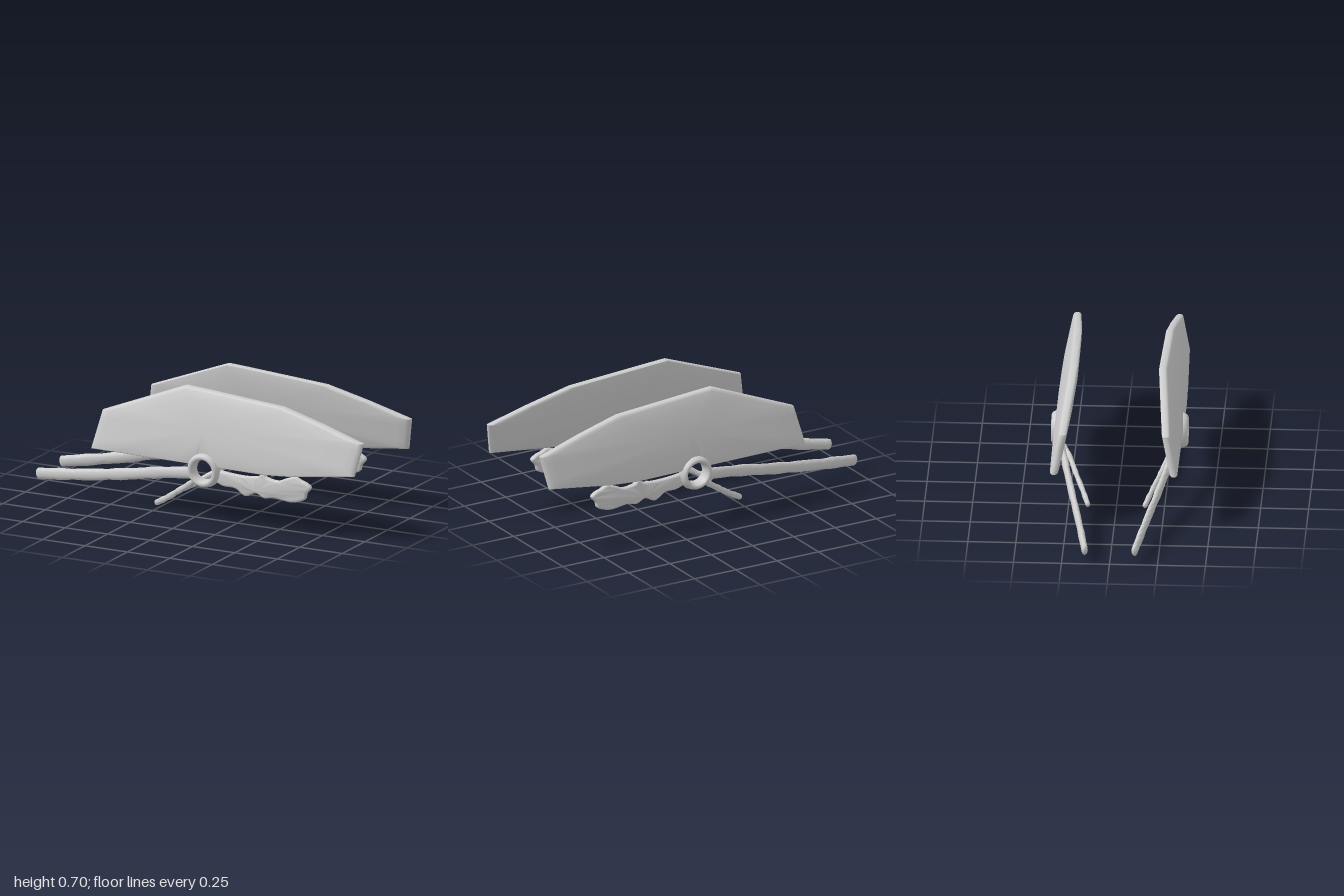
import * as THREE from 'three';
import { toCreasedNormals } from 'three/addons/utils/BufferGeometryUtils.js';

const material = new THREE.MeshStandardMaterial({ color: 0xcccccc });
const HUB = { x: 0.09, y: 0.286 };

// Smooth surface through closed rings of equal point count, listed as [x, y, z]
function loft(rings, crease) {
  const sides = rings[0].length, index = [];
  for (let i = 0; i < rings.length - 1; i++) {
    for (let j = 0; j < sides; j++) {
      const n = (j + 1) % sides, r = i * sides, s = r + sides;
      index.push(r + j, s + j, r + n, r + n, s + j, s + n);
    }
  }
  const geo = new THREE.BufferGeometry();
  geo.setAttribute('position', new THREE.Float32BufferAttribute(rings.flat(2), 3));
  geo.setIndex(index);
  return toCreasedNormals(geo, crease);
}

// Oval bar along a curve, rounded at both ends, slightly uneven in thickness
function bar(points, tall, wide, ripple) {
  const curve = new THREE.CatmullRomCurve3(points.map((q) => new THREE.Vector3(...q)));
  const count = 56, sides = 16, rings = [];
  const up = new THREE.Vector3(0, 1, 0), capLength = wide / curve.getLength();
  for (let i = 0; i <= count; i++) {
    const t = (1 - Math.cos((Math.PI * i) / count)) / 2;
    const c = curve.getPointAt(t), tan = curve.getTangentAt(t);
    const side = new THREE.Vector3().crossVectors(tan, up).normalize();
    const top = new THREE.Vector3().crossVectors(side, tan);
    const e = Math.min(1, Math.min(t, 1 - t) / capLength);
    const k = Math.sqrt(Math.max(0, 1 - (1 - e) ** 2))
      * (1 + ripple * Math.sin(t * 31) + ripple * 0.6 * Math.sin(t * 53 + 1));
    rings.push(Array.from({ length: sides }, (_, j) => {
      const a = (j / sides) * Math.PI * 2;
      return c.clone().addScaledVector(side, Math.cos(a) * wide * k)
        .addScaledVector(top, Math.sin(a) * tall * k).toArray();
    }));
  }
  return loft(rings, 1.2);
}

// Leaning panel, thicker in the middle than at its rim, notched over the hub
function wingGeometry() {
  const corners = [[-0.575, 0.315], [-0.53, 0.52], [-0.06, 0.705], [0.05, 0.698], [0.52, 0.665],
    [0.76, 0.605], [1.0, 0.536], [0.965, 0.363], [0.6, 0.317], [0.45, 0.307], [0.152, 0.31],
    [0.134, 0.335], [0.09, 0.346], [0.046, 0.335], [0.028, 0.31]];
  const steps = 5, outline = [];
  corners.forEach(([x, y], i) => {
    const [nx, ny] = corners[(i + 1) % corners.length];
    for (let k = 0; k < steps; k++) {
      outline.push([x + ((nx - x) * k) / steps, y + ((ny - y) * k) / steps]);
    }
  });
  const centre = [0.09, 0.5];
  // [scale towards the centre, half thickness]
  const face = [[0, 0.038], [0.25, 0.037], [0.5, 0.035], [0.75, 0.029], [0.93, 0.023],
    [0.975, 0.02], [0.992, 0.015], [1, 0.008]];
  const ring = (scale, offset) => outline.map(([px, py]) => {
    const x = centre[0] + (px - centre[0]) * scale, y = centre[1] + (py - centre[1]) * scale;
    return [x, y, 0.266 - 0.21 * (y - 0.535) + offset];
  });
  // from the middle of the inner face, round the rim, to the middle of the outer face
  return loft([
    ...face.map(([s, h]) => ring(s, -h)),
    ...face.slice().reverse().map(([s, h]) => ring(s, h)),
  ], 0.7);
}

// Ragged flat blade whose two upper peaks touch the panel
function bladeGeometry() {
  const outline = [[0.14, 0.3], [0.23, 0.288], [0.33, 0.284], [0.4, 0.292], [0.43, 0.312],
    [0.46, 0.292], [0.52, 0.284], [0.57, 0.303], [0.62, 0.318], [0.66, 0.303], [0.69, 0.293],
    [0.715, 0.27], [0.69, 0.235], [0.675, 0.2], [0.6, 0.177], [0.5, 0.187], [0.44, 0.178],
    [0.39, 0.198], [0.33, 0.175], [0.27, 0.208], [0.2, 0.212], [0.14, 0.235]];
  const s = new THREE.Shape();
  s.moveTo(...outline[0]);
  s.splineThru(outline.slice(1).map((q) => new THREE.Vector2(...q)));
  const bevel = 0.014, depth = 0.006;
  const geo = new THREE.ExtrudeGeometry(s, {
    depth, bevelThickness: bevel, bevelSize: bevel, bevelOffset: -bevel,
    bevelSegments: 4, curveSegments: 60,
  });
  geo.translate(0, 0, 0.305 - depth / 2);
  return toCreasedNormals(geo, 0.7);
}

// Open ring with a flared foot against the panel
function hubGeometry() {
  const profile = [[0.054, 0.295], [0.07, 0.29], [0.086, 0.296], [0.094, 0.312], [0.09, 0.335],
    [0.082, 0.35], [0.072, 0.356], [0.062, 0.35], [0.056, 0.33], [0.053, 0.31], [0.054, 0.295]];
  const geo = new THREE.LatheGeometry(profile.map((q) => new THREE.Vector2(...q)), 40);
  geo.rotateX(Math.PI / 2);
  geo.translate(HUB.x, HUB.y, 0);
  return geo;
}

// Copy reflected across z = 0, with the winding kept outward
function mirrored(source) {
  const geo = source.index ? source.toNonIndexed() : source.clone();
  for (const name of ['position', 'normal']) {
    const a = geo.attributes[name];
    for (let i = 0; i < a.count; i += 3) {
      const v = [0, 2, 1].map((k) => new THREE.Vector3().fromBufferAttribute(a, i + k));
      v.forEach((q, k) => a.setXYZ(i + k, q.x, q.y, -q.z));
    }
  }
  return geo;
}

export function createModel() {
  const model = new THREE.Group();
  const parts = {
    wingPanel: wingGeometry(),
    hubRing: hubGeometry(),
    rearBlade: bladeGeometry(),
    longArm: bar([[0.03, 0.262, 0.312], [-0.2, 0.222, 0.272], [-0.4, 0.178, 0.235],
      [-0.7, 0.12, 0.178], [-1.0, 0.073, 0.127]], 0.031, 0.017, 0.05),
    shortArm: bar([[0.045, 0.235, 0.31], [-0.02, 0.185, 0.262], [-0.12, 0.117, 0.217],
      [-0.2, 0.064, 0.18], [-0.29, 0.012, 0.145]], 0.016, 0.013, 0.06),
  };
  for (const side of ['front', 'back']) {
    const half = new THREE.Group();
    half.name = side + 'Assembly';
    for (const [name, geo] of Object.entries(parts)) {
      const mesh = new THREE.Mesh(side === 'front' ? geo : mirrored(geo), material);
      mesh.name = name;
      half.add(mesh);
    }
    model.add(half);
  }
  return model;
}
